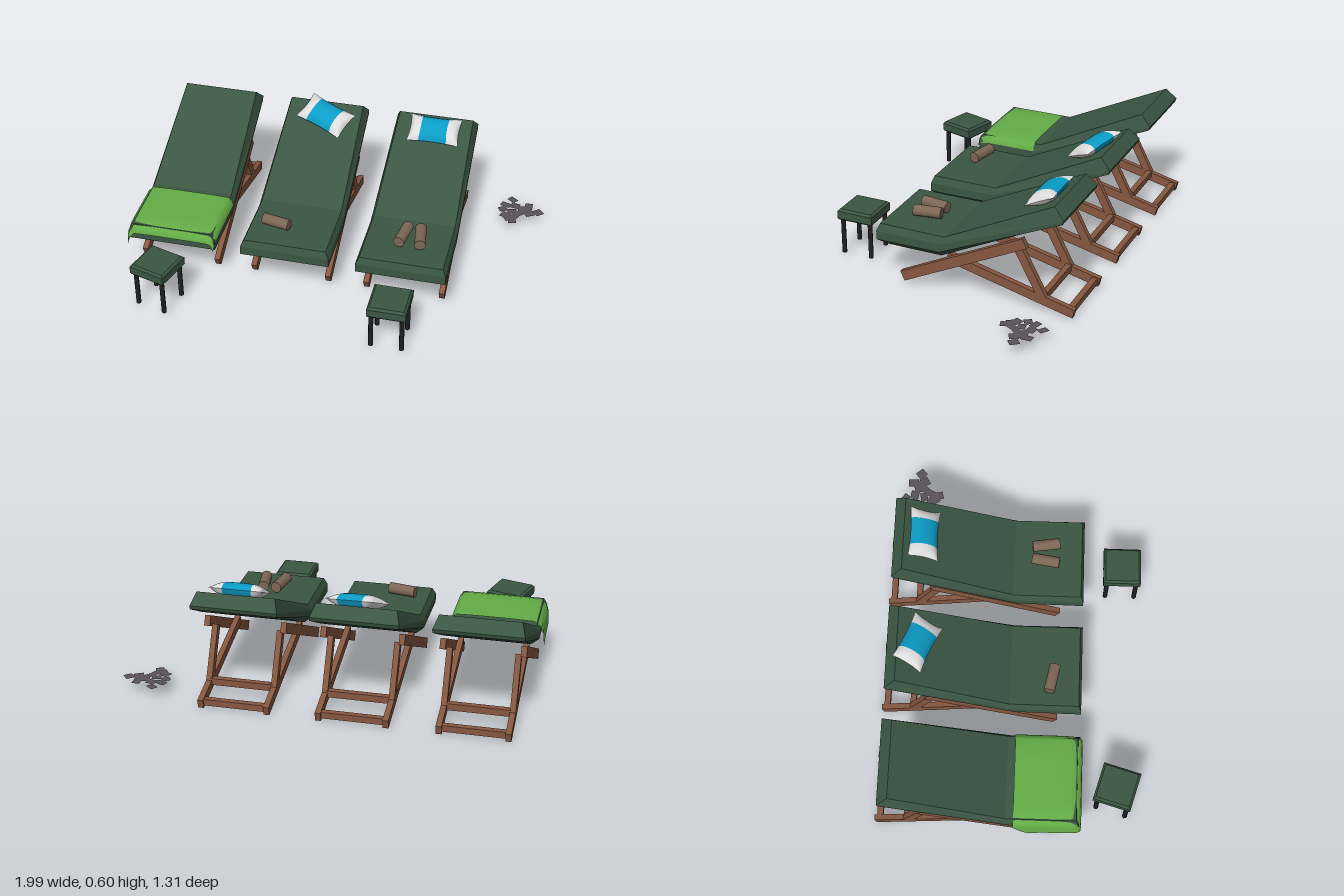
import * as THREE from 'three';

const mat = (name, color, extra = {}) => {
  const m = new THREE.MeshStandardMaterial({ color, ...extra });
  m.name = name;
  return m;
};
const M = {
  green: mat('darkGreenFabric', 0x3b5643),
  wood: mat('wood', 0x865740),
  towel: mat('brightGreenTowel', 0x64ad46, { side: THREE.DoubleSide }),
  roll: mat('brownTowel', 0x7d6656),
  blue: mat('bluePillow', 0x0b9cc6),
  white: mat('whitePillow', 0xdedede),
  black: mat('blackMetal', 0x1d2022),
  grey: mat('greyChip', 0x5a5358, { side: THREE.DoubleSide }),
};

function add(parent, name, geometry, material, x = 0, y = 0, z = 0) {
  const mesh = new THREE.Mesh(geometry, material);
  mesh.name = name;
  mesh.position.set(x, y, z);
  parent.add(mesh);
  return mesh;
}

// Skin a list of equal-length point rows; closed rows may get end caps
function skin(rows, closed, flat) {
  const n = rows[0].length, index = [];
  const quad = (a, b, c, d) => index.push(a, b, c, a, c, d);
  for (let s = 0; s < rows.length - 1; s++) {
    for (let i = 0; i < (closed ? n : n - 1); i++) {
      const j = (i + 1) % n;
      quad(s * n + i, s * n + j, (s + 1) * n + j, (s + 1) * n + i);
    }
  }
  if (closed) {
    const e = (rows.length - 1) * n;
    for (let i = 0; i < n / 2 - 1; i++) {
      quad(i, n - 1 - i, n - 2 - i, i + 1);
      quad(e + i, e + i + 1, e + n - 2 - i, e + n - 1 - i);
    }
  }
  let g = new THREE.BufferGeometry();
  g.setAttribute('position', new THREE.Float32BufferAttribute(rows.flat(2), 3));
  g.setIndex(index);
  if (flat) g = g.toNonIndexed();
  g.computeVertexNormals();
  return g;
}

// Bevelled mattress: each station lists [halfWidth, y, z] from top to bottom
function mattressGeometry() {
  const stations = [
    [[0.205, 0.30, 0.34], [0.222, 0.265, 0.353], [0.222, 0.22, 0.353], [0.18, 0.184, 0.31]],
    [[0.205, 0.30, 0.0], [0.22, 0.265, 0.01], [0.22, 0.222, 0.02], [0.18, 0.184, 0.03]],
    [[0.19, 0.568, -0.55], [0.211, 0.515, -0.603], [0.211, 0.495, -0.597], [0.17, 0.46, -0.54]],
  ];
  return skin(stations.map(s => [
    ...s.map(([w, y, z]) => [w, y, z]),
    ...[...s].reverse().map(([w, y, z]) => [-w, y, z]),
  ]), true, true);
}

// Beam between two points given as (z, y)
function beam(parent, name, x, [z1, y1], [z2, y2], depth, width = 0.028) {
  const dz = z2 - z1, dy = y2 - y1;
  const g = new THREE.BoxGeometry(width, depth, Math.hypot(dz, dy));
  const b = add(parent, name, g, M.wood, x, (y1 + y2) / 2, (z1 + z2) / 2);
  b.rotation.x = -Math.atan2(dy, dz);
}

function lounger(x) {
  const g = new THREE.Group();
  g.name = 'lounger';
  g.position.x = x;
  add(g, 'mattress', mattressGeometry(), M.green);
  for (const s of [-1, 1]) {
    beam(g, 'mainRail', s * 0.19, [0.228, 0.039], [-0.41, 0.355], 0.052);
    beam(g, 'rearLeg', s * 0.162, [0.0, 0.181], [-0.647, 0.025], 0.046);
    beam(g, 'strut', s * 0.162, [-0.36, 0.315], [-0.49, 0.07], 0.042);
  }
  add(g, 'rearCrossbar', new THREE.BoxGeometry(0.31, 0.032, 0.03), M.wood, 0, 0.032, -0.625);
  add(g, 'innerCrossbar', new THREE.BoxGeometry(0.31, 0.034, 0.03), M.wood, 0, 0.075, -0.49);
  return g;
}

// Pinched pillow in three colour bands
function pillow(x, turn) {
  const g = new THREE.Group();
  g.name = 'pillow';
  g.position.set(x, 0.548, -0.45);
  g.rotation.set(0.446, turn, 0);
  for (const [u0, u1, m, name] of [[-1, -0.54, M.white, 'pillowEnd'], [-0.54, 0.54, M.blue, 'pillowBand'], [0.54, 1, M.white, 'pillowEnd']]) {
    for (const side of [1, -1]) {
      const p = new THREE.PlaneGeometry(u1 - u0, 2, 6, 10);
      p.rotateX(-side * Math.PI / 2);
      p.translate((u0 + u1) / 2, 0, 0);
      const a = p.attributes.position;
      for (let i = 0; i < a.count; i++) {
        const u = a.getX(i), v = a.getZ(i);
        const t = Math.pow(Math.max(0, (1 - u ** 4) * (1 - v * v)), 0.6);
        a.setXYZ(i, u * 0.132 * (1 - 0.06 * (1 - v * v)), side * 0.036 * t, v * 0.08 * (1 - 0.1 * (1 - u * u)));
      }
      p.computeVertexNormals();
      add(g, name, p, m);
    }
  }
  return g;
}

// Rolled towel lying on the mattress
function rolledTowel(parent, x, z, turn) {
  const c = new THREE.CylinderGeometry(0.028, 0.028, 0.138, 14);
  c.rotateX(Math.PI / 2);
  add(parent, 'rolledTowel', c, M.roll, x, 0.335, z).rotation.y = turn;
}

// Towel draped over the foot end: [z, front drop, side flap hem height]
function drapedTowel() {
  const stations = [[0.035, 0, 0.25], [0.07, 0, 0.19], [0.11, 0, 0.145], [0.17, 0, 0.17],
    [0.25, 0, 0.175], [0.31, 0.002, 0.18], [0.345, 0.012, 0.18], [0.36, 0.03, 0.185], [0.364, 0.05, 0.19]];
  const rows = stations.map(([z, drop, hem]) => {
    const inset = drop * 0.25, y = 0.309 - drop;
    return [
      [-0.99 + inset, hem, z], [-0.985 + inset, Math.min(0.25, (hem + y) / 2), z], [-0.975 + inset, y - 0.028, z],
      [-0.945, y - 0.003, z], [-0.85, y, z], [-0.75, y, z], [-0.65, y, z],
      [-0.56, y - 0.002, z], [-0.535 - inset, y - 0.015, z], [-0.526 - inset, y - 0.045, z],
    ];
  });
  return skin(rows, false, false);
}

// Square stool with padded, chamfered seat and four thin legs
function stool(x, z, turn) {
  const g = new THREE.Group();
  g.name = 'stool';
  g.position.set(x, 0, z);
  g.rotation.y = turn;
  const ring = (h, y) => [[h, y, h], [h, y, -h], [-h, y, -h], [-h, y, h]];
  const rows = [ring(0.09, 0.2), ring(0.095, 0.207), ring(0.095, 0.246), ring(0.084, 0.257)];
  add(g, 'stoolSeat', skin(rows, true, true), M.green);
  for (const sx of [-1, 1]) for (const sz of [-1, 1]) {
    add(g, 'stoolLeg', new THREE.CylinderGeometry(0.012, 0.012, 0.19, 8), M.black, sx * 0.075, 0.11, sz * 0.075);
  }
  return g;
}

// Scattered flat chips, placed by a seeded generator
function chips() {
  const g = new THREE.Group();
  g.name = 'scatteredChips';
  let seed = 11;
  const rnd = () => (seed = (seed * 16807) % 2147483647) / 2147483647;
  const spots = [[0.82, -0.6], [0.79, -0.55], [0.84, -0.55], [0.78, -0.51], [0.83, -0.5], [0.88, -0.53], [0.9, -0.52],
    [0.965, -0.52], [0.91, -0.56], [0.82, -0.44], [0.85, -0.46], [0.84, -0.42], [0.8, -0.46], [0.87, -0.49], [0.92, -0.5]];
  for (const [x, z] of spots) {
    const p = new THREE.PlaneGeometry(0.035 + rnd() * 0.015, 0.04 + rnd() * 0.015);
    p.rotateX(-Math.PI / 2);
    add(g, 'chip', p, M.grey, x, 0.065, z).rotation.y = rnd() * 3;
  }
  return g;
}

export function createModel() {
  const model = new THREE.Group();
  model.name = 'sunLoungerSet';
  for (const x of [-0.752, -0.178, 0.398]) model.add(lounger(x));
  model.add(pillow(-0.163, -0.4), pillow(0.406, 0));
  add(model, 'drapedTowel', drapedTowel(), M.towel);
  rolledTowel(model, -0.253, 0.205, Math.PI / 2 - 0.2);
  rolledTowel(model, 0.373, 0.157, -0.15);
  rolledTowel(model, 0.458, 0.157, 0.15);
  model.add(stool(-0.765, 0.537, -0.28), stool(0.391, 0.55, 0));
  model.add(chips());
  return model;
}
